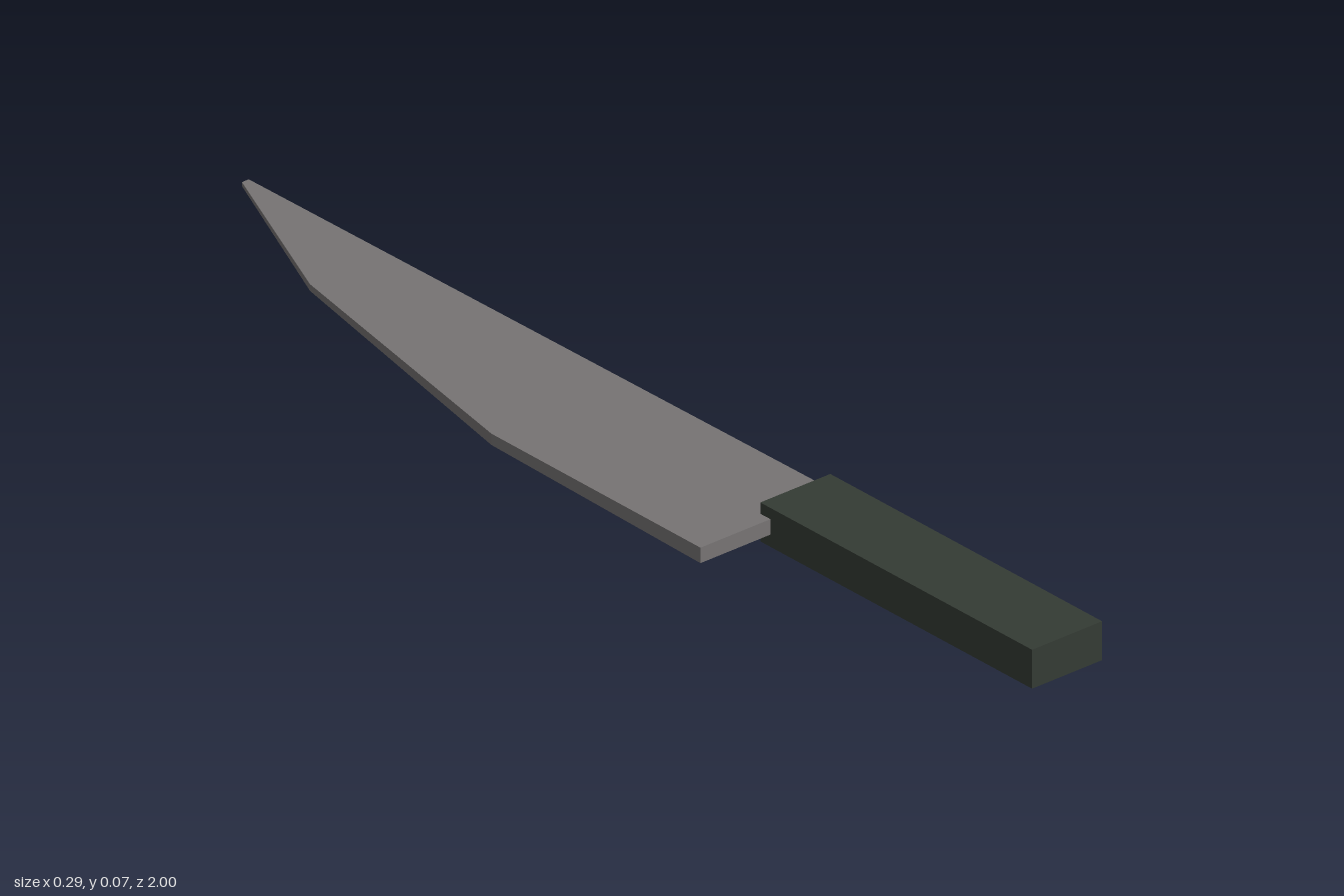
import * as THREE from 'three';

export function createModel() {
  const knife = new THREE.Group();
  knife.name = 'knife';
  const steel = new THREE.MeshStandardMaterial({ name: 'steel grey', color: 0x777474, flatShading: true });
  const grip = new THREE.MeshStandardMaterial({ name: 'dark green grey', color: 0x343b34, flatShading: true });

  // Handle: a plain square-edged bar
  const handle = new THREE.Mesh(new THREE.BoxGeometry(0.143, 0.068, 0.64), grip);
  handle.name = 'handle';
  handle.position.set(0.0715, 0.034, 0.68);
  knife.add(handle);

  // Blade outline as [x, z]: straight spine on the left, faceted edge on the right
  const outline = [[-0.143, 0.384], [0.135, 0.384], [0.135, -1], [0.121, -1], [-0.022, -0.675], [-0.137, -0.115]];
  const shape = new THREE.Shape(outline.map(([x, z]) => new THREE.Vector2(x, -z)));
  const geometry = new THREE.ExtrudeGeometry(shape, { depth: 1, bevelEnabled: false });
  geometry.translate(0, 0, -0.5).rotateX(-Math.PI / 2);

  // Thickness tapers evenly from heel to tip
  const p = geometry.attributes.position;
  for (let i = 0; i < p.count; i++) {
    const t = (0.384 - p.getZ(i)) / 1.384;
    p.setY(i, 0.035 + p.getY(i) * THREE.MathUtils.lerp(0.027, 0.007, t));
  }
  geometry.computeVertexNormals();
  const blade = new THREE.Mesh(geometry, steel);
  blade.name = 'blade';
  knife.add(blade);

  return knife;
}
